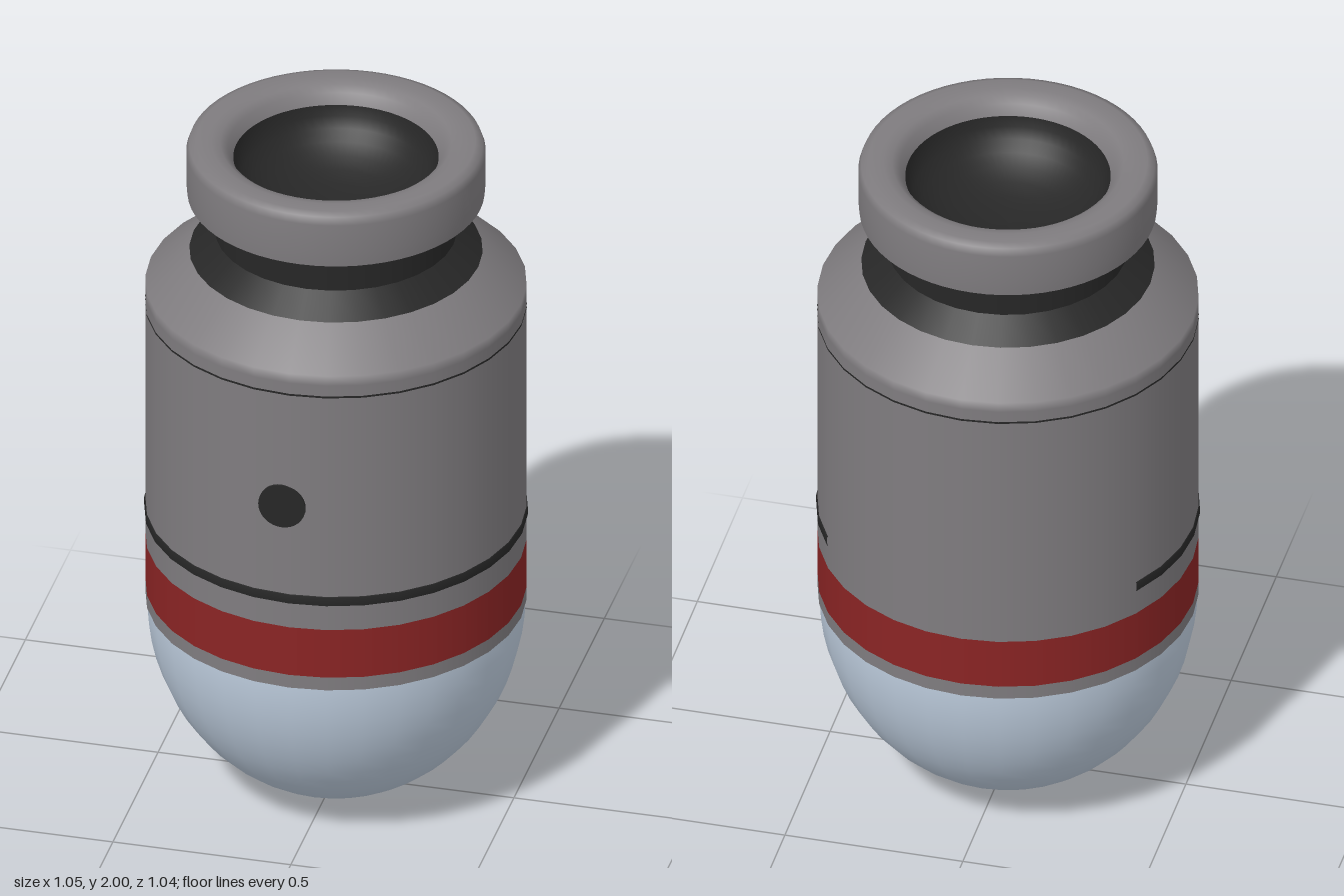
import * as THREE from 'three';

const mat = (name, color, side = THREE.FrontSide) => {
  const m = new THREE.MeshStandardMaterial({ color, side });
  m.name = name;
  return m;
};

export function createModel() {
  const group = new THREE.Group();
  const grey = mat('shell grey', 0x7f7c7f);
  const dark = mat('charcoal', 0x272727, THREE.DoubleSide);
  const red = mat('dark red', 0x8a2424);
  const pale = mat('pale blue', 0xbccbdc);

  const add = (name, geometry, material) => {
    const mesh = new THREE.Mesh(geometry, material);
    mesh.name = name;
    group.add(mesh);
    return mesh;
  };
  // Turned part from [radius, height] points, running up the outside
  const turn = (name, points, material, segments = 32, start = 0, sweep = Math.PI * 2) =>
    add(name, new THREE.LatheGeometry(points.map(([r, y]) => new THREE.Vector2(r, y)), segments, start, sweep), material);

  // Rounded lower end
  const dome = add('dome', new THREE.SphereGeometry(1, 32, 16, 0, Math.PI * 2, Math.PI / 2, Math.PI / 2), pale);
  dome.scale.set(0.517, 0.575, 0.517);
  dome.position.y = 0.575;

  // Main shell with sloped shoulder
  turn('shellLip', [[0.48, 0.57], [0.52, 0.57]], grey);
  turn('lowerTrim', [[0.52, 0.57], [0.52, 0.61]], grey);
  turn('redBand', [[0.52, 0.61], [0.52, 0.76]], red);
  turn('shell', [[0.52, 0.76], [0.52, 1.53], [0.52, 1.56], [0.4, 1.66]], grey);

  // Dark collar and neck
  turn('collar', [[0.4, 1.66], [0.33, 1.72]], dark);
  turn('neck', [[0.33, 1.72], [0.33, 1.84]], dark);
  turn('neckFlange', [[0.33, 1.84], [0.37, 1.84]], dark);

  // Rim with softened inner edge
  turn('rimUnderside', [[0.37, 1.84], [0.405, 1.84]], grey, 64);
  turn('rim', [
    [0.405, 1.84], [0.408, 1.88], [0.408, 1.97], [0.4, 1.992], [0.38, 2],
    [0.34, 2], [0.315, 1.995], [0.295, 1.98], [0.28, 1.95],
  ], grey, 64);

  // Hollow mouth
  const bowl = [];
  for (let i = 0; i <= 8; i++) {
    const a = (i / 8) * Math.PI / 2;
    bowl.push([0.28 * Math.cos(a), 1.95 - 0.16 * Math.sin(a)]);
  }
  turn('mouth', bowl, dark, 64);

  // Seams: a partial lower groove, open at the back, and a hairline above
  const step = Math.PI / 16;
  turn('lowerSeam', [[0.519, 0.835], [0.523, 0.837], [0.523, 0.863], [0.519, 0.865]], dark, 22, -11 * step, 22 * step);
  turn('upperSeam', [[0.521, 1.491], [0.521, 1.497]], dark);

  // Round front button
  const button = add('button', new THREE.CylinderGeometry(0.066, 0.066, 0.009, 32), dark);
  button.rotation.x = Math.PI / 2;
  button.position.set(-0.02, 1.14, 0.518);

  return group;
}
